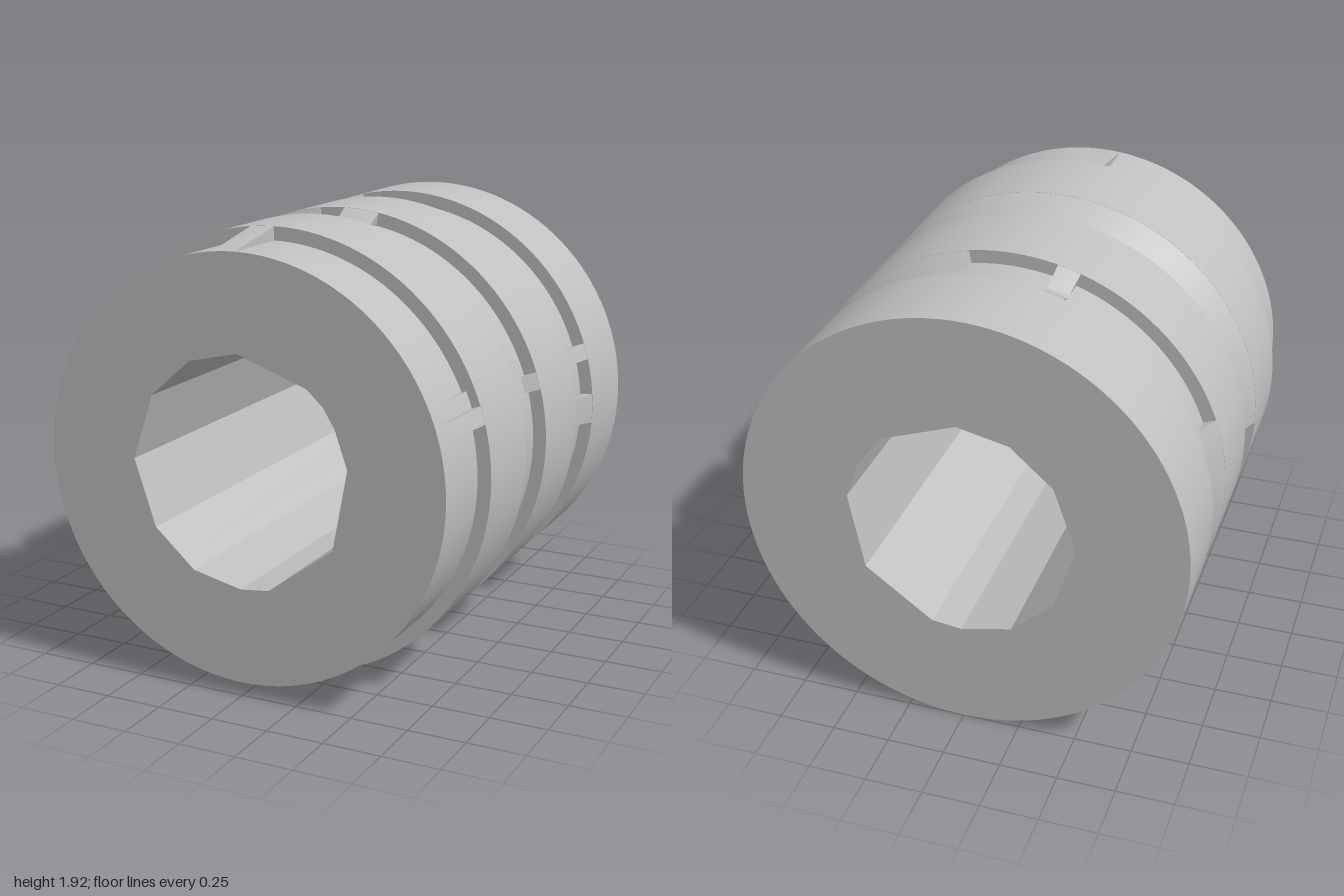
import * as THREE from 'three';
import { toCreasedNormals } from 'three/addons/utils/BufferGeometryUtils.js';

const R = 0.958;      // collar radius
const FLOOR = 0.9;    // groove floor radius
const INNER = 0.88;   // buried inner radius of attached parts

// Sweep an (r, z) profile around the z axis from angle a0 to a1 (degrees)
function sweep(profile, a0, a1) {
  const shape = new THREE.Shape(profile.map(([r, z]) => new THREE.Vector2(r, z)));
  const steps = Math.max(2, Math.ceil((a1 - a0) / 3));
  const geo = new THREE.ExtrudeGeometry(shape, { depth: 1, steps, bevelEnabled: false });
  const p = geo.attributes.position;
  for (let i = 0; i < p.count; i++) {
    const r = p.getX(i), z = p.getY(i);
    const a = THREE.MathUtils.degToRad(a1 - p.getZ(i) * (a1 - a0));
    p.setXYZ(i, r * Math.cos(a), r * Math.sin(a), z);
  }
  return toCreasedNormals(geo, 0.2);
}

export function createModel() {
  const group = new THREE.Group();
  const steel = new THREE.MeshStandardMaterial({ color: 0xc0c0c0 });
  steel.name = 'grey';

  const add = (name, geo) => {
    const mesh = new THREE.Mesh(geo, steel);
    mesh.name = name;
    mesh.position.y = R;
    group.add(mesh);
  };

  // Core with an irregular polygonal bore
  const core = new THREE.Shape().absarc(0, 0, FLOOR, 0, Math.PI * 2, false);
  const bore = [
    [0, 0.495], [0.31, 0.385], [0.38, 0.32], [0.43, 0.24], [0.485, 0.08],
    [0.42, -0.26], [0.13, -0.475], [0, -0.49], [-0.22, -0.44], [-0.27, -0.395],
    [-0.4, -0.28], [-0.495, 0.005], [-0.4, 0.285], [-0.22, 0.445],
  ];
  core.holes.push(new THREE.Path(bore.map(([x, y]) => new THREE.Vector2(x, y)).reverse()));
  const coreGeo = new THREE.ExtrudeGeometry(core, { depth: 2, bevelEnabled: false, curveSegments: 120 });
  coreGeo.translate(0, 0, -1);
  add('core', toCreasedNormals(coreGeo, 0.2));

  // Three raised collars
  [['backCollar', -1, -0.6], ['middleCollar', -0.36, 0.04], ['frontCollar', 0.28, 0.68]].forEach(([name, z0, z1]) =>
    add(name, sweep([[INNER, z0], [R, z0], [R, z1], [INNER, z1]], 0, 360)));

  // Ramps rising from a foot on the groove floor to a collar edge
  const ramp = (name, a0, a1, foot, edge, top = R - 0.001) =>
    add(name, sweep([[INNER, foot], [FLOOR, foot], [top, edge], [INNER, edge]], a0, a1));

  // Front step ribs
  ramp('frontTopRib', 90, 96.6, 1, 0.68);
  ramp('frontSideRib', 14.5, 19, 0.96, 0.68);
  ramp('frontSideRibUpper', 19, 23.4, 0.92, 0.68, 0.92);
  ramp('frontBottomRib', 257, 277, 1, 0.68, 0.91);

  // Front groove: long chamfer and short ramps on the opposite wall
  ramp('frontGrooveChamfer', 19, 182, 0.14, 0.28);
  ramp('frontGrooveSideRib', 14.5, 19, 0.15, 0.28);
  ramp('frontGrooveBottomRamp', 242, 298, 0.15, 0.28);
  [[14.5, 19, 0.08], [80, 90, 0.13], [97, 115, 0.07], [150, 200, 0.13], [250, 298, 0.09]].forEach(([a0, a1, foot]) =>
    ramp('frontGrooveBackRamp', a0, a1, foot, 0.04));

  // Back groove: chamfer on the front wall and short ramps on the back wall
  [[14.5, 80, -0.43], [103, 109, -0.46], [160, 200, -0.43], [250, 298, -0.47]].forEach(([a0, a1, foot]) =>
    ramp('backGrooveFrontRamp', a0, a1, foot, -0.36));
  [[-3.4, 4.6], [14.5, 19], [103, 109], [250, 298]].forEach(([a0, a1]) =>
    ramp('backGrooveBackRamp', a0, a1, -0.48, -0.6));

  return group;
}
